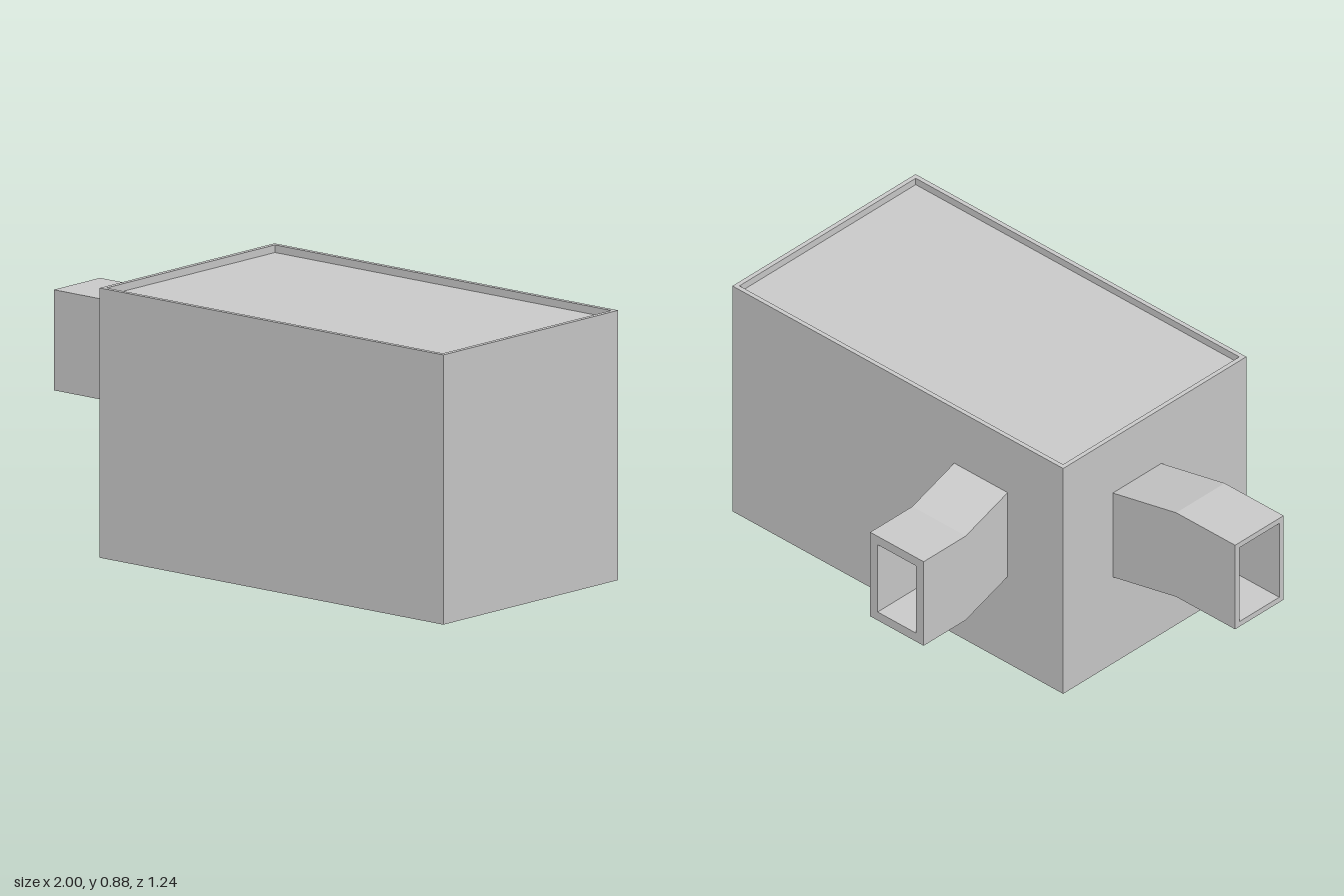
import * as THREE from 'three';

const material = new THREE.MeshStandardMaterial({ color: 0xcccccc, flatShading: true });

function part(name, geometry, parent) {
  const mesh = new THREE.Mesh(geometry, material);
  mesh.name = name;
  parent.add(mesh);
  return mesh;
}

// Rectangular ring centred on the origin, extruded along +z
function frame(width, height, wall, options) {
  const corners = (w, h) => [[-w, -h], [w, -h], [w, h], [-w, h]].map(([x, y]) => new THREE.Vector2(x / 2, y / 2));
  const shape = new THREE.Shape(corners(width, height));
  shape.holes.push(new THREE.Path(corners(width - 2 * wall, height - 2 * wall)));
  return new THREE.ExtrudeGeometry(shape, { bevelEnabled: false, ...options });
}

// Open duct: slopes by `rise` up to `bend`, then runs level to `length`
function duct(width, height, wall, bend, length, rise) {
  const geometry = frame(width, height, wall, { depth: length, steps: 2 });
  const p = geometry.attributes.position;
  for (let i = 0; i < p.count; i++) {
    const station = Math.round((2 * p.getZ(i)) / length);
    p.setZ(i, [0, bend, length][station]);
    if (station > 0) p.setY(i, p.getY(i) + rise);
  }
  geometry.computeVertexNormals();
  return geometry;
}

export function createModel() {
  const model = new THREE.Group();
  model.name = 'ductedBox';

  const width = 1.46, depth = 0.85, height = 0.885, recess = 0.025;
  const cx = 0.27, cz = 0.195;

  // Main housing up to the recessed top panel
  const housing = part('housing', new THREE.BoxGeometry(width, height - recess, depth), model);
  housing.position.set(cx, (height - recess) / 2, cz);

  // Thin raised rim around the top
  const rim = part('topRim', frame(width, depth, 0.016, { depth: recess }).rotateX(-Math.PI / 2), model);
  rim.position.set(cx, height - recess, cz);

  // Side duct, stepping upward away from the wall
  const side = part('sideDuct', duct(0.225, 0.33, 0.02, 0.28, 0.54, 0.06), model);
  side.rotation.y = -Math.PI / 2;
  side.position.set(-0.46, 0.505, 0.1125);

  // Back duct, stepping downward away from the wall
  const back = part('backDuct', duct(0.236, 0.33, 0.033, 0.195, 0.39, -0.07), model);
  back.rotation.y = Math.PI;
  back.position.set(-0.097, 0.505, -0.23);

  return model;
}
